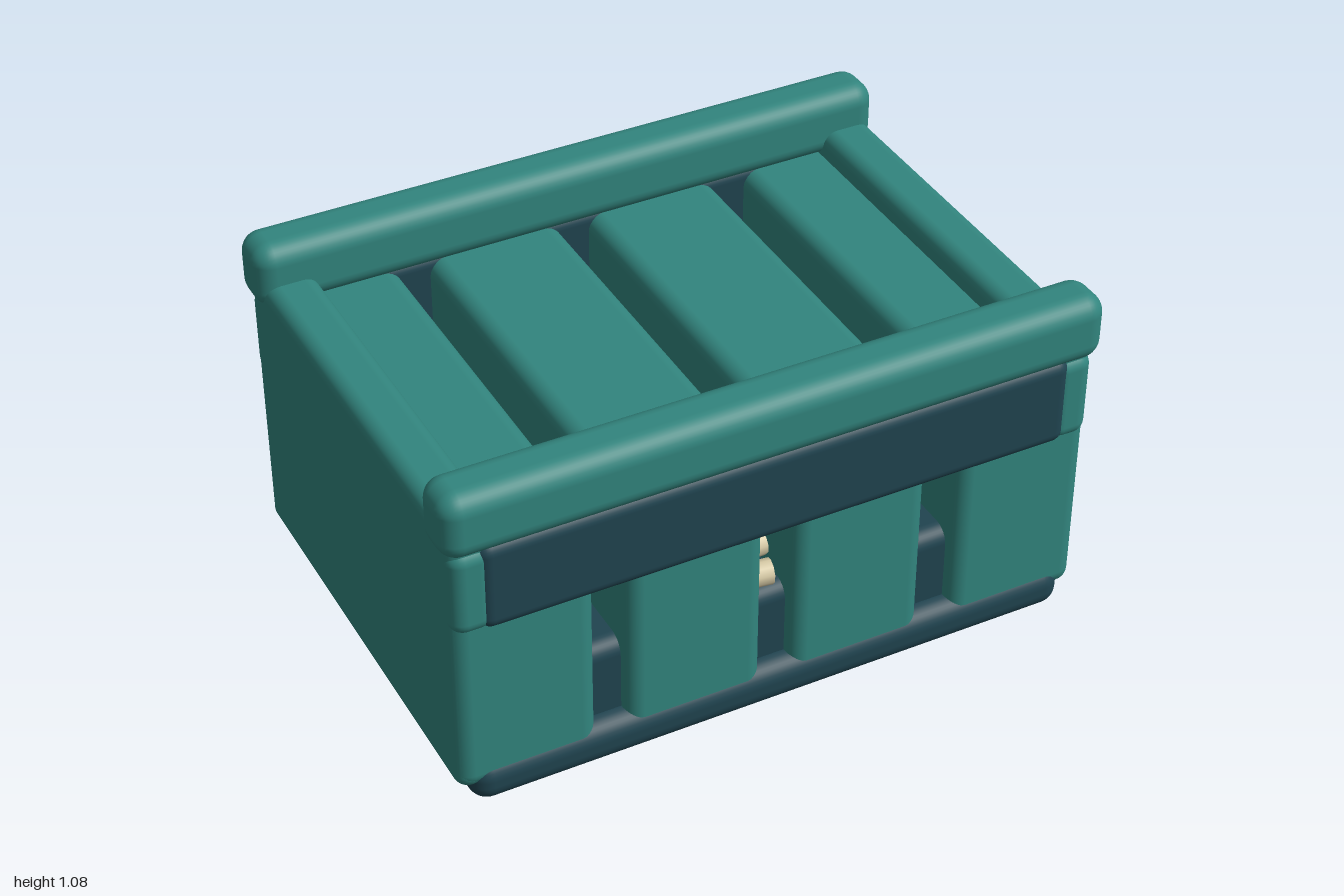
import * as THREE from 'three';
import { RoundedBoxGeometry } from 'three/addons/geometries/RoundedBoxGeometry.js';

const material = (name, color) => {
  const m = new THREE.MeshStandardMaterial({ color });
  m.name = name;
  return m;
};

export function createModel() {
  const teal = material('teal', 0x32857e);
  const navy = material('dark blue', 0x204450);
  const gold = material('gold', 0xd6a04a);
  const cream = material('cream', 0xd8cba6);

  const model = new THREE.Group();
  model.name = 'crate';
  const body = new THREE.Group();
  body.name = 'body';
  body.position.z = 0.012;
  model.add(body);

  const add = (name, geometry, mat, x = 0, y = 0, z = 0) => {
    const mesh = new THREE.Mesh(geometry, mat);
    mesh.name = name;
    mesh.position.set(x, y, z);
    body.add(mesh);
    return mesh;
  };
  // Rounded box given by its limits in x and y, and its centre and depth in z
  const block = (name, mat, x0, x1, y0, y1, z, depth, radius) =>
    add(name, new RoundedBoxGeometry(x1 - x0, y1 - y0, depth, 4, radius), mat,
      (x0 + x1) / 2, (y0 + y1) / 2, z);

  // Base tray and the raised floor inside
  block('base', navy, -0.94, 0.94, 0, 0.14, 0, 1.4, 0.06);
  block('innerFloor', navy, -0.85, 0.85, 0.06, 0.375, 0, 1.28, 0.05);

  // Four wide slats running front to back
  for (const x of [-0.77, -0.26, 0.25, 0.77]) {
    block('slat', teal, x - 0.21, x + 0.21, 0.065, 0.88, 0, 1.376, 0.05);
  }

  for (const s of [-1, 1]) {
    // Side walls
    block('sideWall', teal, s * 0.9 - 0.08, s * 0.9 + 0.08, 0.062, 0.96, 0, 1.37, 0.045);

    // Upper panel, corner caps and top rail, front and back
    block('upperPanel', navy, -0.9, 0.9, 0.613, 0.9, s * 0.638, 0.13, 0.04);
    for (const e of [-1, 1]) {
      block('cornerCap', teal, e * 0.914 - 0.064, e * 0.914 + 0.064, 0.612, 0.892, s * 0.6, 0.194, 0.045);
    }
    block('topRail', teal, -1, 1, 0.874, 1.08, s * 0.63, 0.168, 0.06);

    // Latches on the back
    block('latch', gold, s * 0.655 - 0.076, s * 0.655 + 0.076, 0.668, 0.938, -0.702, 0.08, 0.02);
  }

  // Flat spiral of rope inside
  const turns = 3.75;
  const points = [];
  for (let i = 0; i <= 90; i++) {
    const t = (i / 90) * turns;
    const a = t * Math.PI * 2;
    const r = 0.178 + 0.121 * t;
    points.push(new THREE.Vector3(r * Math.cos(a), 0.433, -r * Math.sin(a)));
  }
  add('ropeCoil', new THREE.TubeGeometry(new THREE.CatmullRomCurve3(points), 200, 0.038, 10), cream, 0, 0, -0.005);

  return model;
}
